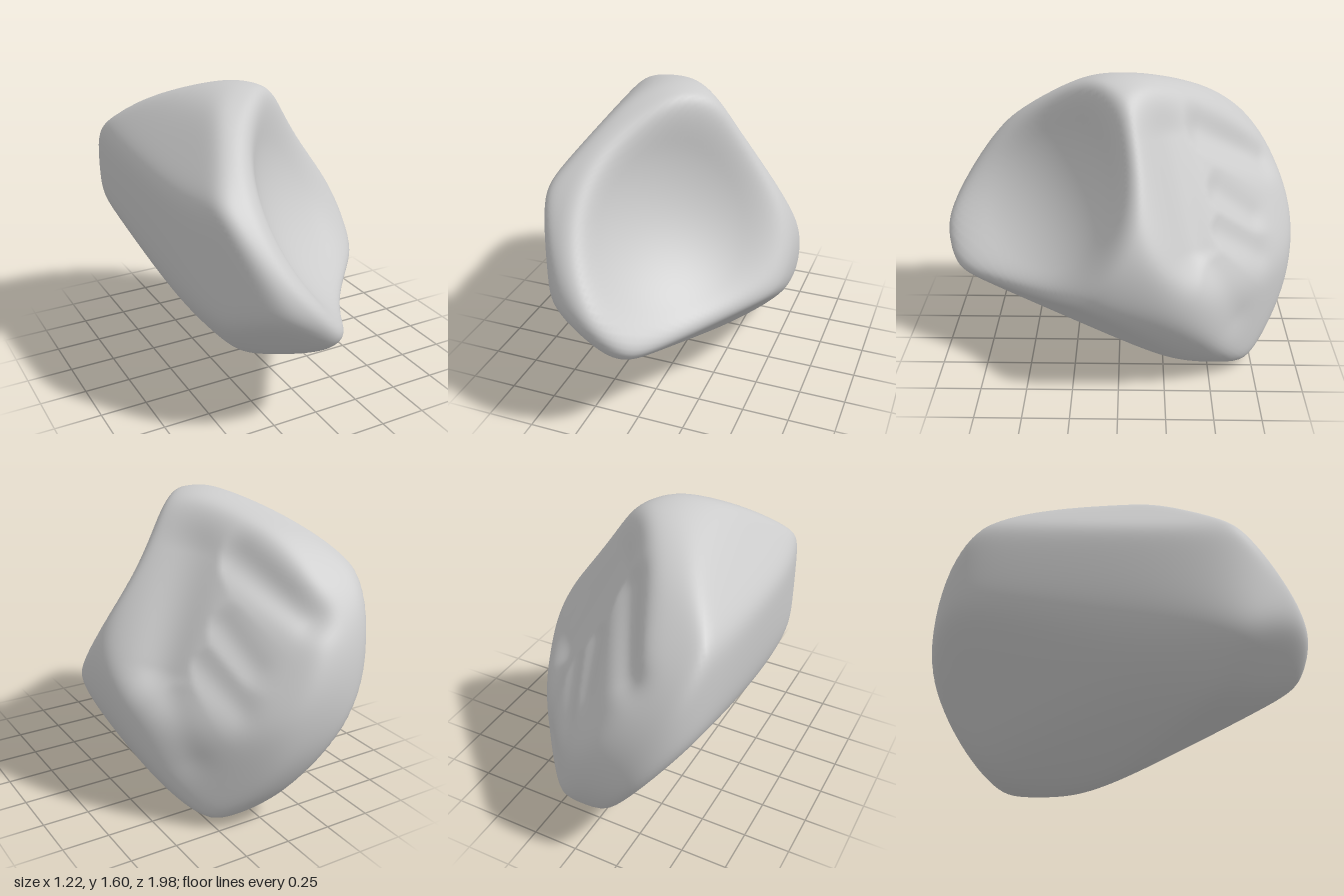
import * as THREE from 'three';
import { mergeVertices } from 'three/addons/utils/BufferGeometryUtils.js';

const V = (x, y, z) => new THREE.Vector3(x, y, z);

// Convex outlines, counter-clockwise, in the (x,y), (z,y) and (x,z) planes
const frontOutline = [[.16, 0], [.35, .12], [.46, .26], [.55, .43], [.61, .58], [.62, .68], [.58, .87],
  [.5, 1.04], [.22, 1.48], [.12, 1.56], [-.08, 1.62], [-.35, 1.52], [-.5, 1.42], [-.6, 1.3], [-.62, 1.2],
  [-.57, .72], [-.5, .53], [-.38, .38], [-.1, .16], [.05, .05]];
const sideOutline = [[-.35, 0], [-.1, .02], [.2, .14], [.7, .36], [.9, .48], [.97, .58], [1, .7], [.95, .82],
  [.7, 1.18], [.5, 1.36], [.1, 1.6], [0, 1.62], [-.1, 1.61], [-.3, 1.54], [-.5, 1.44], [-.8, 1.16],
  [-.9, 1], [-.97, .82], [-1, .65], [-.98, .5], [-.9, .3], [-.8, .14], [-.7, .05], [-.55, .015]];
const topOutline = [[-.2, -1], [-.1, -.99], [.02, -.95], [.1, -.89], [.35, -.64], [.47, -.51], [.55, -.35],
  [.61, -.15], [.62, 0], [.58, .17], [.3, .6], [.1, .87], [0, .95], [-.15, 1], [-.3, .95], [-.42, .82],
  [-.52, .62], [-.58, .35], [-.61, 0], [-.62, -.3], [-.62, -.6], [-.58, -.78], [-.5, -.9], [-.35, -.99]];

// Each outline edge becomes a half-space {n, h}
function halfSpaces(outline, toNormal) {
  return outline.map(([a, b], i) => {
    const [c, d] = outline[(i + 1) % outline.length];
    const len = Math.hypot(c - a, d - b);
    const u = (d - b) / len, v = (a - c) / len;
    return { n: toNormal(u, v), h: u * a + v * b };
  });
}

const dishNormal = V(.71, .45, .54).normalize();
const planes = [
  ...halfSpaces(frontOutline, (u, v) => V(u, v, 0)),
  ...halfSpaces(sideOutline, (u, v) => V(0, v, u)),
  ...halfSpaces(topOutline, (u, v) => V(u, 0, v)),
  { n: dishNormal, h: .78 },                            // seat of the dish
  { n: V(-.8, -.59, -.13).normalize(), h: .06 },        // flat lower left face
  { n: V(.6, -.71, .37).normalize(), h: -.02 },         // underside below the dish
  { n: V(.62, .5, -.6).normalize(), h: .88 },           // rough rear face, upper
  { n: V(.69, .39, -.61).normalize(), h: .85 },         // rough rear face, lower
  { n: V(-.757, .652, .086).normalize(), h: 1.22 },     // upper left shoulder
  { n: V(-.805, -.56, .163).normalize(), h: .16 },      // lower left flank
  { n: V(-.5, -.607, .615).normalize(), h: .285 },      // front lower flank
  { n: V(-.21, -.906, .366).normalize(), h: -.07 },     // front underside
];

// Hollow dish as a carved sphere
const dishRadius = .95;
const dishCentre = V(.08, 1.01, .44).addScaledVector(dishNormal, .79);

// Soft hollows on the rear face: start, end, depth, width
const hollows = [
  [V(-.03, 1.33, -.45), V(-.24, 1.08, -.78), .04, .1],
  [V(.16, 1.36, -.3), V(.36, .8, -.38), .05, .14],
  [V(.36, .8, -.38), V(.26, .4, -.56), .035, .12],
  [V(.1, 1.02, -.52), V(.02, .84, -.7), .02, .09],
  [V(.24, .85, -.52), V(.12, .66, -.74), .02, .09],
].map(([a, b, depth, width]) => ({ line: new THREE.Line3(a, b), depth, width }));

const smoothMax = (a, b, k) => {
  const h = Math.max(k - Math.abs(a - b), 0) / k;
  return Math.max(a, b) + h * h * k / 4;
};

// Signed field of the body: negative inside
const nearest = V(0, 0, 0);
function field(p) {
  const k = 40;
  let sum = 0;
  for (const { n, h } of planes) sum += Math.exp(k * (n.dot(p) - h));
  const body = Math.log(sum) / k - .03;
  let hollow = 0;
  for (const { line, depth, width } of hollows) {
    line.closestPointToPoint(p, true, nearest);
    hollow = Math.max(hollow, depth * Math.exp(-nearest.distanceToSquared(p) / (width * width)));
  }
  return smoothMax(body, dishRadius - p.distanceTo(dishCentre), .1) + hollow;
}

export function createModel() {
  // Push a fine sphere out from the middle until it meets the field
  let geometry = new THREE.IcosahedronGeometry(1, 44);
  geometry.deleteAttribute('uv');
  geometry.deleteAttribute('normal');
  geometry = mergeVertices(geometry, 1e-5);
  const position = geometry.attributes.position;
  const middle = V(-.2, .75, .08), dir = V(0, 0, 0), p = V(0, 0, 0);
  for (let i = 0; i < position.count; i++) {
    dir.fromBufferAttribute(position, i).normalize();
    let near = 0, far = 1.7;
    for (let step = 0; step < 18; step++) {
      const mid = (near + far) / 2;
      p.copy(middle).addScaledVector(dir, mid);
      if (field(p) < 0) near = mid; else far = mid;
    }
    p.copy(middle).addScaledVector(dir, near);
    position.setXYZ(i, p.x, p.y, p.z);
  }

  // Centre it and stand it on the ground
  geometry.computeBoundingBox();
  const { min, max } = geometry.boundingBox;
  geometry.translate(-(min.x + max.x) / 2, -min.y, -(min.z + max.z) / 2);
  geometry.computeVertexNormals();

  const bone = new THREE.Mesh(geometry, new THREE.MeshStandardMaterial({ color: 0xcccccc }));
  bone.name = 'boneBody';
  const group = new THREE.Group();
  group.name = 'bone';
  group.add(bone);
  return group;
}
